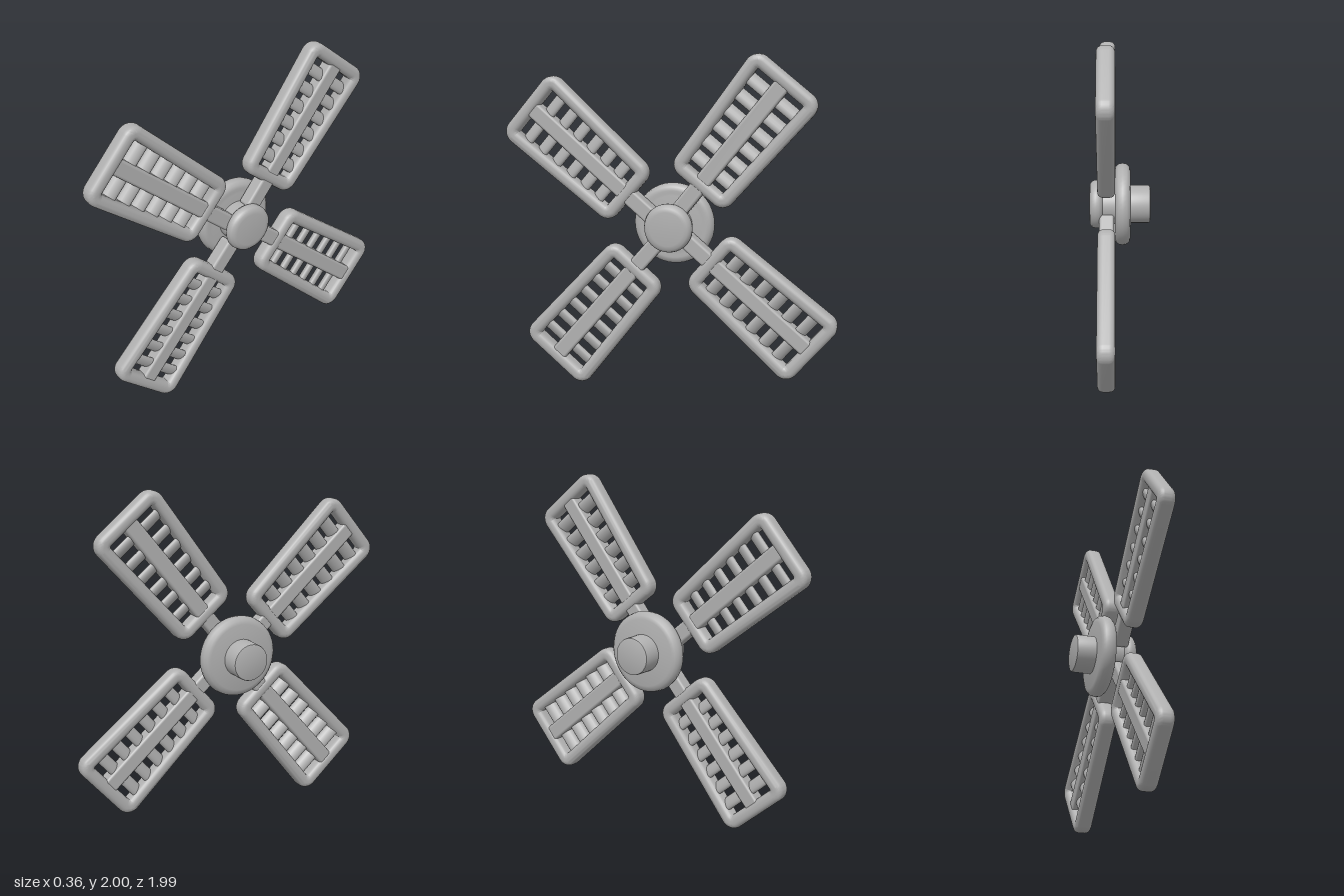
import * as THREE from 'three';
import { toCreasedNormals } from 'three/addons/utils/BufferGeometryUtils.js';
import { RoundedBoxGeometry } from 'three/addons/geometries/RoundedBoxGeometry.js';

const grey = new THREE.MeshStandardMaterial({ color: 0xb0b0b0 });
grey.name = 'grey';

function part(name, geometry, parent) {
  const mesh = new THREE.Mesh(geometry, grey);
  mesh.name = name;
  parent.add(mesh);
  return mesh;
}

// Rounded outline, slightly wider at the tip (+x) than at the root
function outline(path, inset, radius) {
  const x = 0.42 - inset - radius;
  const tip = 0.243 - inset - radius;
  const root = 0.21 - inset - radius;
  const q = Math.PI / 2;
  path.absarc(x, tip, radius, 0, q, false);
  path.absarc(-x, root, radius, q, 2 * q, false);
  path.absarc(-x, -root, radius, 2 * q, 3 * q, false);
  path.absarc(x, -tip, radius, 3 * q, 4 * q, false);
  path.closePath();
  return path;
}

function frameGeometry() {
  const shape = outline(new THREE.Shape(), 0.032, 0.045);
  shape.holes.push(outline(new THREE.Path(), 0.046, 0.04));
  const g = new THREE.ExtrudeGeometry(shape, {
    depth: 0.036, bevelEnabled: true, bevelSize: 0.032, bevelThickness: 0.032,
    bevelSegments: 5, curveSegments: 8,
  });
  g.translate(0, 0, -0.018);
  return toCreasedNormals(g, 0.8);
}

// Solid of revolution about the rotor axis; profile is [radius, axial position]
function turned(profile) {
  const g = new THREE.LatheGeometry(profile.map(([r, a]) => new THREE.Vector2(r, a)), 48);
  g.rotateX(Math.PI / 2);
  return toCreasedNormals(g, 0.7);
}

export function createModel() {
  const model = new THREE.Group();
  model.name = 'fanRotor';

  // The rotor is built facing +z, then turned to face +x
  const rotor = new THREE.Group();
  rotor.name = 'rotor';
  rotor.position.y = 1;
  rotor.rotation.y = Math.PI / 2;
  model.add(rotor);

  // Hub
  part('shaft', turned([[0, -0.18], [0.1, -0.18], [0.108, -0.177], [0.111, -0.168], [0.111, -0.05]]), rotor);
  part('hubDisc', turned([
    [0, -0.064], [0.2, -0.064], [0.222, -0.058], [0.237, -0.042], [0.242, -0.018],
    [0.237, 0.006], [0.222, 0.022], [0.2, 0.027], [0.185, 0.025], [0.17, 0.027], [0, 0.027],
  ]), rotor);
  part('hubCap', turned([
    [0.118, 0.0], [0.118, 0.1], [0.133, 0.108], [0.142, 0.122], [0.143, 0.14],
    [0.137, 0.16], [0.122, 0.172], [0.1, 0.175], [0, 0.175],
  ]), rotor);

  // Blades: centre of each in the rotor plane and its angle in degrees
  const frame = frameGeometry();
  const arm = new RoundedBoxGeometry(0.96, 0.096, 0.086, 3, 0.016);
  const blades = [
    [0.418, 0.557, 51.5],
    [-0.555, 0.43, 139.7],
    [-0.464, -0.552, 229.5],
    [0.538, -0.446, 320],
  ];
  for (const [x, y, degrees] of blades) {
    const blade = new THREE.Group();
    blade.name = 'blade';
    blade.position.set(x, y, 0.075);
    blade.rotation.z = THREE.MathUtils.degToRad(degrees);
    rotor.add(blade);
    part('bladeFrame', frame, blade);
    part('bladeArm', arm, blade).position.x = -0.115;

    // Tilted louvre slats across the frame
    for (let i = 0; i < 6; i++) {
      const px = -0.27 + i * 0.108;
      const slat = new THREE.CylinderGeometry(1, 1, 0.36 + 0.08 * (px + 0.42), 16);
      slat.scale(0.042, 1, 0.024);
      slat.rotateY(0.6);
      part('slat', slat, blade).position.x = px;
    }
  }
  return model;
}
